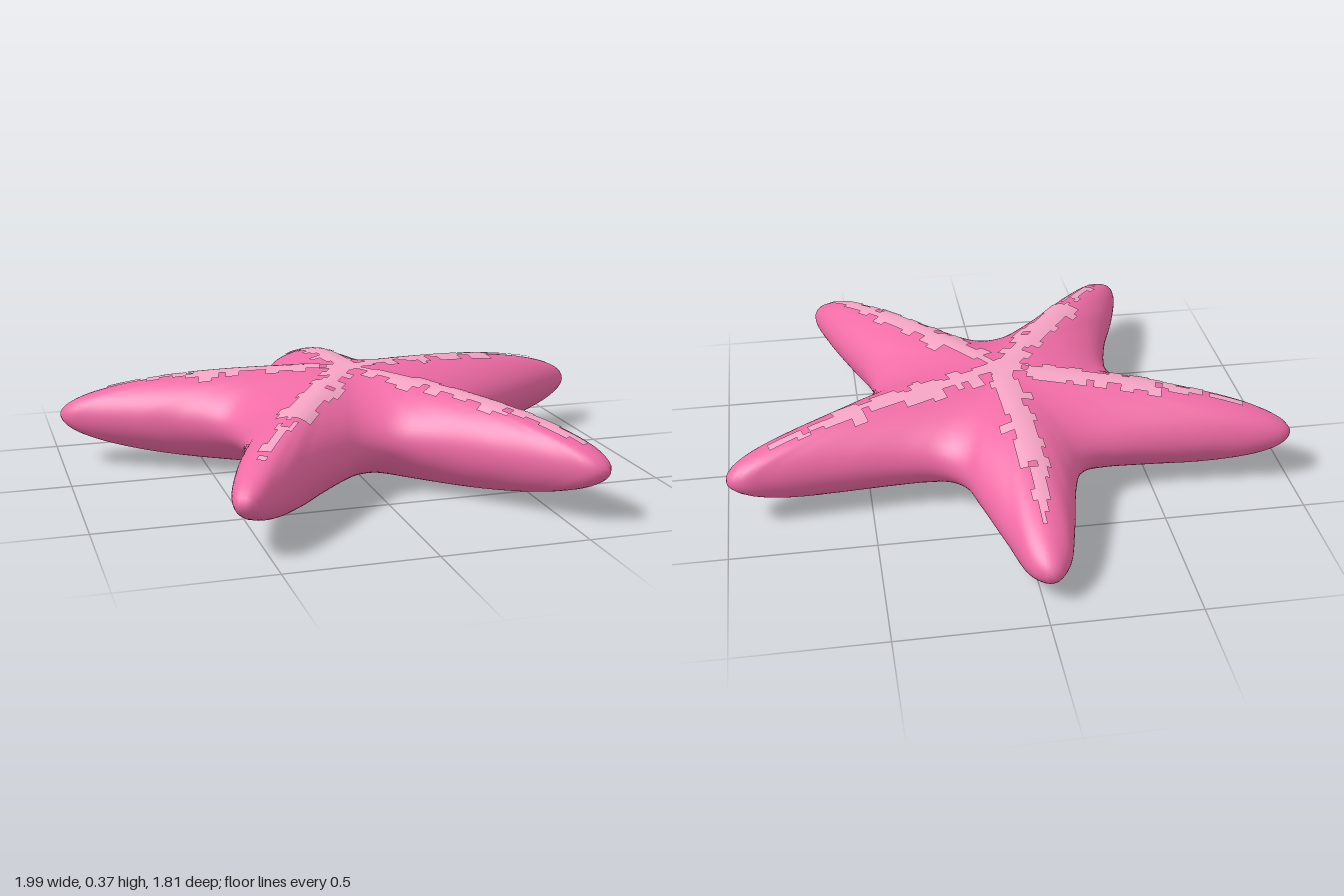
import * as THREE from 'three';
import { mergeVertices } from 'three/addons/utils/BufferGeometryUtils.js';

const HALF = 0.18; // half thickness at the centre

// Star outline seen from above, as x, z pairs
const OUTLINE = [
  -0.03, -0.91, 0.03, -0.87, 0.09, -0.7, 0.155, -0.5, 0.19, -0.4, 0.26, -0.34,
  0.38, -0.32, 0.6, -0.325, 0.85, -0.34, 0.95, -0.34, 0.99, -0.31, 0.985, -0.27,
  0.93, -0.22, 0.8, -0.13, 0.65, -0.03, 0.52, 0.06, 0.46, 0.15, 0.45, 0.22,
  0.47, 0.33, 0.54, 0.52, 0.61, 0.73, 0.635, 0.85, 0.61, 0.895, 0.56, 0.895,
  0.48, 0.83, 0.33, 0.68, 0.16, 0.51, 0.07, 0.445, 0, 0.43, -0.08, 0.45,
  -0.18, 0.53, -0.33, 0.68, -0.46, 0.82, -0.56, 0.895, -0.6, 0.88, -0.605, 0.82,
  -0.56, 0.65, -0.49, 0.46, -0.445, 0.28, -0.44, 0.18, -0.48, 0.07, -0.6, -0.02,
  -0.75, -0.1, -0.9, -0.19, -0.98, -0.25, -1, -0.295, -0.97, -0.33, -0.88, -0.345,
  -0.7, -0.335, -0.42, -0.325, -0.29, -0.345, -0.22, -0.4, -0.18, -0.5, -0.14, -0.68,
  -0.09, -0.85,
];

function outlinePoints(count) {
  const pts = [];
  for (let i = 0; i < OUTLINE.length; i += 2) pts.push(new THREE.Vector3(OUTLINE[i], 0, OUTLINE[i + 1]));
  return new THREE.CatmullRomCurve3(pts.reverse(), true).getSpacedPoints(count);
}

// The back arm droops towards its tip
const midHeight = (z) => HALF - 0.07 * THREE.MathUtils.smoothstep(-z, 0.3, 0.95);

// Distance from the centre to the outline along direction (dx, dz)
function reach(ring, dx, dz) {
  for (let i = 0; i < ring.length - 1; i++) {
    const a = ring[i], b = ring[i + 1];
    const ca = dx * a.z - dz * a.x, cb = dx * b.z - dz * b.x;
    if (ca * cb > 0 || ca === cb) continue;
    const p = a.clone().lerp(b, ca / (ca - cb));
    const r = p.x * dx + p.z * dz;
    if (r > 0) return r;
  }
  return 1;
}

// Height of the upper skin at (x, z)
function topHeight(ring, x, z) {
  const r = Math.hypot(x, z);
  const s = r < 1e-5 ? 0 : Math.min(1, r / reach(ring, x / r, z / r));
  return midHeight(z) + HALF * Math.sqrt(1 - s * s);
}

// Sphere whose parallels are stretched onto the star outline
function bodyGeometry(ring, sides) {
  const geo = new THREE.SphereGeometry(1, sides, 48);
  const pos = geo.attributes.position, uv = geo.attributes.uv;
  for (let i = 0; i < pos.count; i++) {
    const s = Math.hypot(pos.getX(i), pos.getZ(i));
    const p = ring[THREE.MathUtils.clamp(Math.round(uv.getX(i) * sides), 0, sides)];
    const z = p.z * s;
    pos.setXYZ(i, p.x * s, midHeight(z) + HALF * pos.getY(i), z);
  }
  geo.deleteAttribute('uv');
  geo.deleteAttribute('normal');
  const merged = mergeVertices(geo, 1e-5);
  merged.computeVertexNormals();
  return merged;
}

// Ragged band of cells lying just above the skin, from the centre to (tx, tz)
function stripeGeometry(ring, tx, tz, random) {
  const across = 10, along = 36, width = 0.15;
  const len = Math.hypot(tx, tz), dx = tx / len, dz = tz / len;
  const geo = new THREE.PlaneGeometry(1, 1, across, along);
  const pos = geo.attributes.position;
  for (let i = 0; i < pos.count; i++) {
    const v = pos.getX(i) * width, u = (pos.getY(i) + 0.5) * len;
    const x = dx * u - dz * v, z = dz * u + dx * v;
    pos.setXYZ(i, x, topHeight(ring, x, z) + 0.006, z);
  }
  const src = geo.index.array, kept = [];
  let lo = 0, hi = 0;
  for (let row = 0; row < along; row++) {
    const t = 1 - row / along; // rows start at the arm tip
    const half = 1 + 3 * Math.min(1, (1 - t) * 2.5) * (t < 0.12 ? 0.5 : 1);
    if (row % 2 === 0) {
      lo = Math.round(across / 2 - half * (0.4 + 0.8 * random()));
      hi = Math.round(across / 2 + half * (0.4 + 0.8 * random()));
    }
    const gap = random() < 0.15 ? Math.floor(lo + random() * (hi - lo)) : -9;
    for (let col = Math.max(0, lo); col < Math.min(across, hi); col++) {
      if (col === gap || col === gap + 1) continue;
      const k = (row * across + col) * 6;
      kept.push(...src.slice(k, k + 6));
    }
  }
  geo.setIndex(kept);
  geo.computeVertexNormals();
  return geo;
}

export function createModel() {
  const group = new THREE.Group();
  group.name = 'starfish';
  const sides = 320;
  const ring = outlinePoints(sides);

  const skin = new THREE.MeshStandardMaterial({ color: 0xf06ba5 });
  const body = new THREE.Mesh(bodyGeometry(ring, sides), skin);
  body.name = 'body';
  group.add(body);

  // Pale markings along the ridge of each arm
  let seed = 7;
  const random = () => (seed = (seed * 16807) % 2147483647) / 2147483647;
  const pale = new THREE.MeshStandardMaterial({ color: 0xf5a3c4, side: THREE.DoubleSide });
  const ends = { back: [-0.03, -0.77], left: [0.84, -0.27], frontLeft: [0.56, 0.82], frontRight: [-0.5, 0.76], right: [-0.83, -0.25] };
  for (const [name, [x, z]] of Object.entries(ends)) {
    const stripe = new THREE.Mesh(stripeGeometry(ring, x, z, random), pale);
    stripe.name = name + 'ArmStripe';
    group.add(stripe);
  }
  return group;
}
